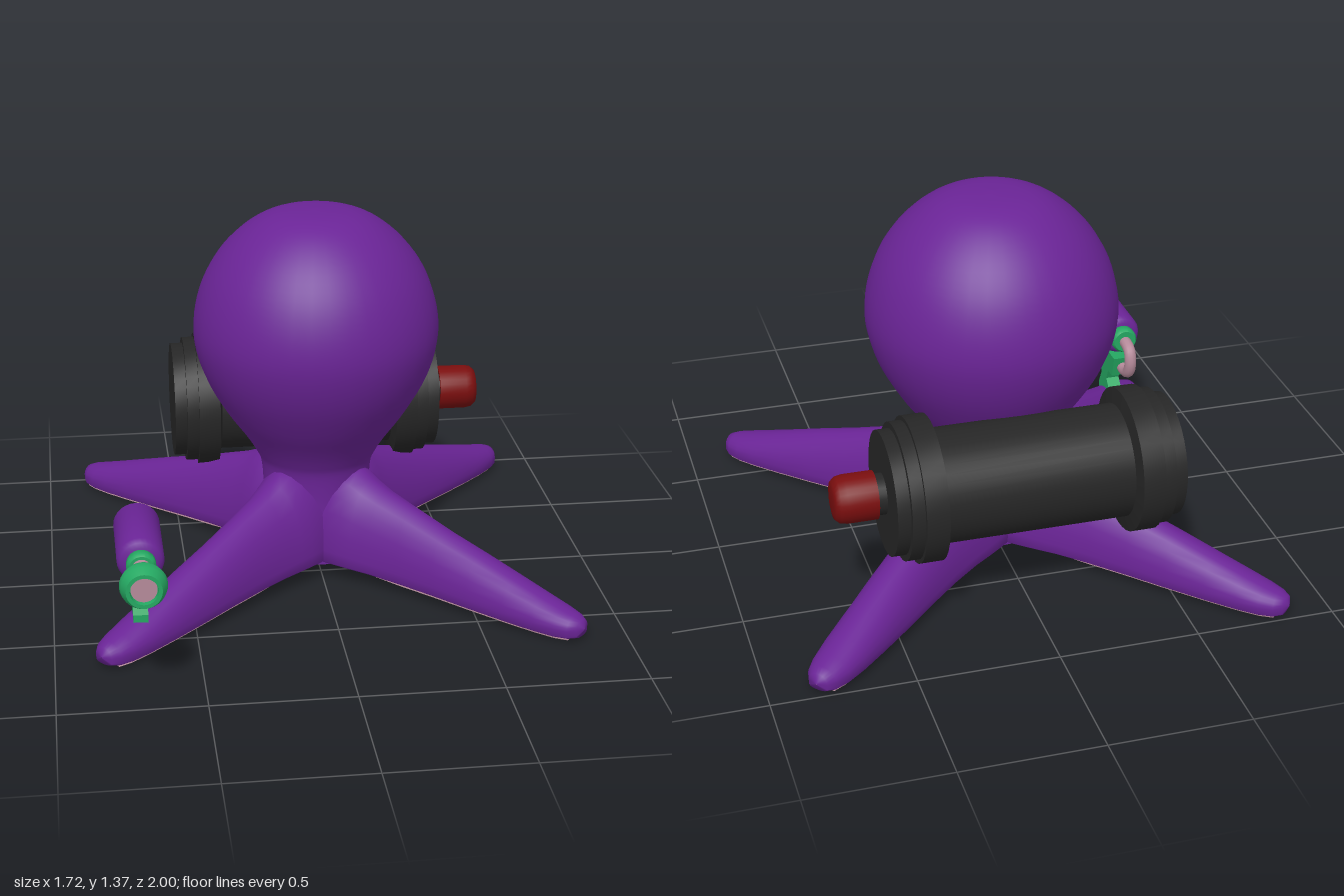
import * as THREE from 'three';
import { toCreasedNormals } from 'three/addons/utils/BufferGeometryUtils.js';

const mat = (name, color) => {
  const m = new THREE.MeshStandardMaterial({ color });
  m.name = name;
  return m;
};

export function createModel() {
  const purple = mat('purple skin', 0x6a2496);
  const black = mat('black tank', 0x262626);
  const red = mat('dark red', 0x7a0e0e);
  const green = mat('green', 0x25a862);
  const pink = mat('dusty pink', 0xb58a9a);

  const add = (parent, name, geo, material, x = 0, y = 0, z = 0) => {
    const mesh = new THREE.Mesh(geo, material);
    mesh.name = name;
    mesh.position.set(x, y, z);
    parent.add(mesh);
    return mesh;
  };
  const group = (parent, name, x = 0, y = 0, z = 0) => {
    const g = new THREE.Group();
    g.name = name;
    g.position.set(x, y, z);
    if (parent) parent.add(g);
    return g;
  };
  const lathe = (pts, seg = 32) =>
    new THREE.LatheGeometry(pts.map(([r, y]) => new THREE.Vector2(r, y)), seg);
  const smoothLathe = (pts, n, seg) => lathe(new THREE.SplineCurve(
    pts.map(([r, y]) => new THREE.Vector2(r, y))).getPoints(n).map(p => [Math.max(p.x, 0), p.y]), seg);
  const crease = (geo, angle = 0.7) => toCreasedNormals(geo, angle);

  // Loft along +z; each section is [distance, half width, top, bottom, height of widest point]
  function loft(sections, n = 24) {
    const pos = [], idx = [];
    for (const [s, w, top, bot, mid] of sections) {
      for (let j = 0; j < n; j++) {
        const a = (j / n) * Math.PI * 2, c = Math.cos(a), d = Math.sin(a);
        const y = d >= 0 ? mid + (top - mid) * d : mid - (mid - bot) * Math.pow(-d, 0.35);
        pos.push(w * c, y, s);
      }
    }
    for (let i = 0; i < sections.length - 1; i++) {
      for (let j = 0; j < n; j++) {
        const k = (j + 1) % n, a = i * n, b = a + n;
        idx.push(a + j, a + k, b + j, a + k, b + k, b + j);
      }
    }
    const geo = new THREE.BufferGeometry();
    geo.setAttribute('position', new THREE.Float32BufferAttribute(pos, 3));
    geo.setIndex(idx);
    geo.computeVertexNormals();
    return geo;
  }

  const model = group(null, 'octopusWithTankAndBlaster');
  const body = group(model, 'body', 0, 0, -0.145);

  // Head and neck, continuing down between the legs
  add(body, 'head', smoothLathe([
    [0.2, 0.05], [0.2, 0.18], [0.198, 0.3], [0.205, 0.4], [0.225, 0.45], [0.265, 0.515],
    [0.33, 0.605], [0.395, 0.715], [0.435, 0.82], [0.45, 0.92], [0.436, 1.03],
    [0.395, 1.14], [0.325, 1.24], [0.23, 1.32], [0.13, 1.36], [0, 1.37],
  ], 60, 40), purple);
  const underside = add(body, 'underside', new THREE.CircleGeometry(0.2, 32), purple, 0, 0.05, 0);
  underside.rotation.x = Math.PI / 2;
  const soleCentre = add(body, 'soleCentre', new THREE.CircleGeometry(0.17, 32), pink, 0, 0.037, 0);
  soleCentre.rotation.x = Math.PI / 2;

  // Four tapering legs with pink soles
  const legSections = [
    [0, 0.15, 0.40, 0.045, 0.12], [0.16, 0.16, 0.41, 0.044, 0.12], [0.215, 0.152, 0.405, 0.043, 0.115],
    [0.26, 0.143, 0.378, 0.041, 0.11], [0.33, 0.127, 0.348, 0.038, 0.1], [0.45, 0.112, 0.309, 0.032, 0.09],
    [0.6, 0.104, 0.26, 0.026, 0.08], [0.75, 0.1, 0.215, 0.02, 0.07], [0.9, 0.093, 0.168, 0.014, 0.06],
    [1.02, 0.085, 0.13, 0.01, 0.053], [1.1, 0.074, 0.106, 0.008, 0.049], [1.15, 0.058, 0.092, 0.009, 0.047],
    [1.178, 0.037, 0.08, 0.016, 0.046], [1.19, 0.001, 0.047, 0.045, 0.046],
  ];
  const legGeo = loft(legSections);
  const soleGeo = loft(legSections.slice(0, -2).map(([s, w, , b]) =>
    [s, Math.min(w * 0.75, 0.085), b + 0.003, b - 0.005, b - 0.001]), 12);
  const suckerGeo = new THREE.CylinderGeometry(0.014, 0.01, 0.006, 10);
  for (let i = 0; i < 4; i++) {
    const leg = group(body, 'leg' + (i + 1));
    leg.rotation.y = Math.PI / 4 + i * Math.PI / 2;
    add(leg, 'legSkin', legGeo, purple);
    add(leg, 'legSole', soleGeo, pink);
    for (let k = 0; k < 14; k++) {
      const s = 0.3 + k * 0.06;
      for (const side of [-1, 1])
        add(leg, 'sucker', suckerGeo, pink, side * (0.048 - k * 0.001), 0.045 - s * 0.0345 - 0.003, s);
    }
  }

  // Tank carried across the back, with stepped flanges
  const tank = group(model, 'tank', 0, 0.495, -0.59);
  const half = [[0.2, 0], [0.2, 0.33], [0.255, 0.34], [0.255, 0.42], [0.24, 0.42],
    [0.24, 0.465], [0.218, 0.465], [0.218, 0.51], [0, 0.51]];
  const tankProfile = [...half.slice(1).reverse().map(([r, y]) => [r, -y]), ...half.slice(1)];
  add(tank, 'tankShell', crease(lathe(tankProfile, 36)), black).rotation.z = -Math.PI / 2;
  add(tank, 'nozzleCollar', new THREE.CylinderGeometry(0.072, 0.072, 0.05, 24), black, 0.525)
    .rotation.z = -Math.PI / 2;
  add(tank, 'nozzleCap', crease(lathe([[0, 0.54], [0.085, 0.54], [0.085, 0.645], [0.08, 0.67],
    [0.066, 0.686], [0.045, 0.69], [0, 0.69]], 28)), red).rotation.z = -Math.PI / 2;

  // Blaster standing on the front right leg
  const gun = group(model, 'blaster', -0.7, 0, 0);
  const along = (name, pts, material, seg = 28) => {
    const m = add(gun, name, crease(lathe(pts, seg), 0.8), material, 0, 0.428, 0);
    m.rotation.x = Math.PI / 2;
  };
  along('blasterBody', [[0, 0.428], [0.055, 0.428], [0.071, 0.435], [0.08, 0.455], [0.08, 0.75],
    [0.071, 0.772], [0.055, 0.78], [0, 0.78]], purple);
  for (const z of [0.38, 0.77])
    along('blasterRing', [[0, z], [0.042, z], [0.05, z + 0.01], [0.05, z + 0.04], [0.042, z + 0.05], [0, z + 0.05]], green);
  along('barrel', [[0, 0.8], [0.032, 0.8], [0.032, 0.9], [0, 0.9]], pink);
  along('muzzle', [[0, 0.88], [0.036, 0.88], [0.05, 0.9], [0.074, 0.93], [0.08, 0.95], [0.075, 0.97],
    [0.06, 1], [0.047, 1], [0.045, 0.98], [0, 0.98]], green);
  along('muzzleOpening', [[0, 0.976], [0.044, 0.976], [0.044, 0.984], [0, 0.984]], pink);

  // Hose looping from the rear ring down to the frame
  const hosePath = new THREE.CatmullRomCurve3([[0.425, 0.4], [0.425, 0.36], [0.41, 0.325], [0.365, 0.313],
    [0.322, 0.33], [0.305, 0.365], [0.305, 0.41]].map(([y, z]) => new THREE.Vector3(0, y, z)));
  add(gun, 'hose', new THREE.TubeGeometry(hosePath, 32, 0.023, 12), pink);

  // Frame, grip and trigger: side outlines given as [z, y]
  const plate = (name, pts, width) => {
    const shape = new THREE.Shape(pts.map(([z, y]) => new THREE.Vector2(z, y)));
    const geo = new THREE.ExtrudeGeometry(shape, { depth: width, bevelEnabled: false });
    geo.translate(0, 0, -width / 2);
    geo.rotateY(-Math.PI / 2);
    add(gun, name, geo, green);
  };
  plate('frame', [[0.39, 0.35], [0.41, 0.266], [0.7, 0.266], [0.742, 0.35]], 0.08);
  plate('grip', [[0.485, 0.27], [0.515, 0.2], [0.46, 0.145], [0.47, 0.115], [0.6, 0.115],
    [0.6, 0.15], [0.575, 0.2], [0.605, 0.27]], 0.052);
  plate('trigger', [[0.59, 0.27], [0.57, 0.2], [0.615, 0.18], [0.63, 0.187], [0.605, 0.235], [0.61, 0.27]], 0.02);

  return model;
}
